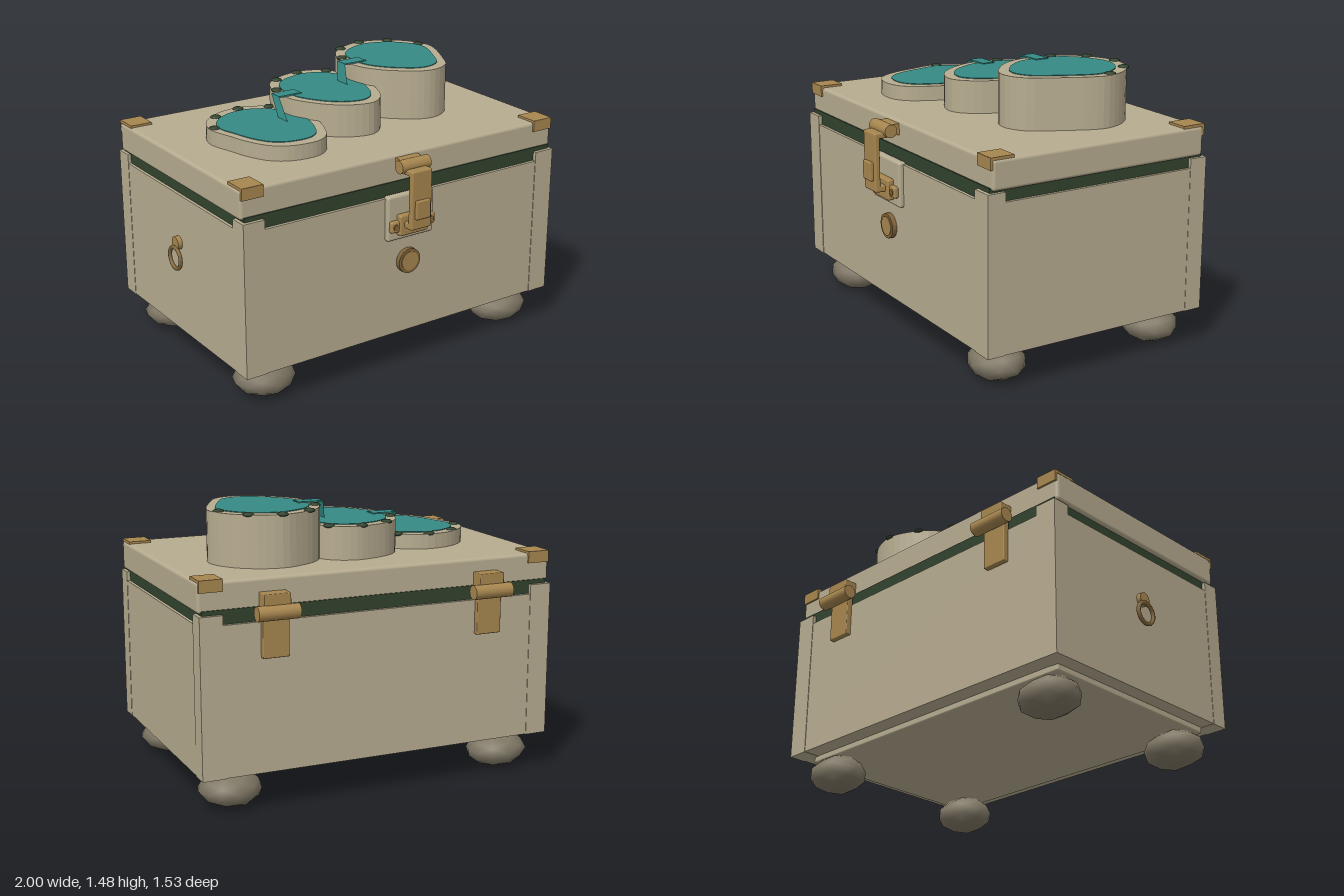
import * as THREE from 'three';
import { mergeVertices } from 'three/addons/utils/BufferGeometryUtils.js';
import { RoundedBoxGeometry } from 'three/addons/geometries/RoundedBoxGeometry.js';

const mat = (name, color) => Object.assign(new THREE.MeshStandardMaterial({ color }), { name });

export function createModel() {
  const tan = mat('tan', 0xb7ac90);
  const stone = mat('stone', 0x7f7765);
  const brass = mat('brass', 0xa7864f);
  const darkBrass = mat('darkBrass', 0x80643a);
  const green = mat('darkGreen', 0x32432e);
  const teal = mat('teal', 0x358a84);
  teal.side = THREE.DoubleSide;

  const root = new THREE.Group();
  root.name = 'chest';
  const add = (name, geo, material, x = 0, y = 0, z = 0, parent = root) => {
    const m = new THREE.Mesh(geo, material);
    m.name = name;
    m.position.set(x, y, z);
    parent.add(m);
    return m;
  };
  // Box given by its limits on each axis, with an optional rounding radius
  const box = (name, material, [x0, x1], [y0, y1], [z0, z1], r = 0, parent = root) => {
    const s = [x1 - x0, y1 - y0, z1 - z0];
    const geo = r ? new RoundedBoxGeometry(...s, 2, r) : new THREE.BoxGeometry(...s);
    return add(name, geo, material, (x0 + x1) / 2, (y0 + y1) / 2, (z0 + z1) / 2, parent);
  };
  // Cylinder lying along the x or z axis
  const rod = (name, material, r, len, axis, x, y, z, parent = root) => {
    const geo = new THREE.CylinderGeometry(r, r, len, 20);
    if (axis === 'x') geo.rotateZ(Math.PI / 2);
    else geo.rotateX(Math.PI / 2);
    return add(name, geo, material, x, y, z, parent);
  };

  // Chest body, liner, base and lid
  const CX = 0.018;
  box('body', tan, [-0.961, 0.998], [0.212, 0.987], [-0.677, 0.629]);
  box('liner', green, [-0.945, 0.982], [0.95, 1.06], [-0.66, 0.612]);
  box('basePlate', tan, [-0.882, 0.914], [0.18, 0.22], [-0.584, 0.535], 0.008);
  box('lid', tan, [-0.963, 1.0], [1.045, 1.2], [-0.655, 0.605], 0.018);

  // Corner posts, brass lid corners and stone feet
  for (const x of [[-0.963, -0.843], [0.88, 1.0]])
    for (const z of [[-0.68, -0.58], [0.533, 0.632]])
      box('cornerPost', tan, x, [0.21, 1.037], z);

  for (const x of [[-0.957, -0.835], [0.872, 0.994]]) {
    box('frontCornerTop', brass, x, [1.197, 1.212], [0.483, 0.613]);
    box('frontCornerFace', brass, x, [1.15, 1.21], [0.6, 0.614]);
    box('backCornerTop', brass, x, [1.197, 1.212], [-0.664, -0.532]);
    box('backCornerFace', brass, x, [1.15, 1.21], [-0.664, -0.65]);
  }

  let ico = new THREE.IcosahedronGeometry(1, 1);
  ico.deleteAttribute('normal');
  ico.deleteAttribute('uv');
  ico = mergeVertices(ico, 1e-3);
  const p = ico.attributes.position;
  for (let i = 0; i < p.count; i++) { // slightly uneven stone surface
    const k = 1 + 0.035 * Math.sin(i * 7.3);
    p.setXYZ(i, p.getX(i) * k, p.getY(i) * k, p.getZ(i) * k);
  }
  ico.computeVertexNormals();
  for (const x of [-0.757, 0.794])
    for (const z of [-0.506, 0.457]) {
      const foot = add('foot', ico, stone, x, 0.1, z);
      foot.scale.set(0.17, 0.096, 0.144);
      if (x > 0) foot.rotation.y = Math.PI;
    }

  // Front latch
  const latch = new THREE.Group();
  latch.name = 'latch';
  root.add(latch);
  box('latchPlate', tan, [-0.128, 0.166], [0.754, 1.0], [0.61, 0.655], 0.015, latch);
  box('latchWings', brass, [-0.122, 0.158], [0.807, 0.87], [0.65, 0.68], 0.012, latch);
  box('latchCatch', brass, [-0.075, 0.107], [0.785, 0.9], [0.65, 0.69], 0.012, latch);
  for (const s of [-1, 1])
    rod('latchScrew', darkBrass, 0.016, 0.01, 'z', CX + s * 0.112, 0.838, 0.68, latch);
  box('latchMount', brass, [-0.05, 0.085], [1.125, 1.185], [0.6, 0.65], 0, latch);
  rod('latchBarrel', brass, 0.035, 0.18, 'x', CX, 1.155, 0.665, latch);
  box('latchBridge', brass, [-0.048, 0.08], [1.115, 1.147], [0.665, 0.745], 0.01, latch);
  box('latchStrap', brass, [-0.048, 0.08], [0.83, 1.147], [0.715, 0.747], 0.01, latch);
  box('latchHook', brass, [-0.048, 0.08], [0.83, 0.865], [0.68, 0.735], 0.008, latch);
  box('latchTab', brass, [-0.027, 0.06], [0.89, 0.99], [0.74, 0.765], 0.006, latch);

  // Round front button with a darker rim
  rod('buttonRim', darkBrass, 0.068, 0.03, 'z', 0.016, 0.62, 0.64);
  rod('buttonFace', brass, 0.052, 0.036, 'z', 0.016, 0.62, 0.641);

  // Pull ring on the right side
  rod('ringBoss', brass, 0.036, 0.028, 'x', -0.972, 0.718, -0.03);
  const ring = new THREE.TorusGeometry(0.058, 0.011, 8, 28).rotateY(Math.PI / 2);
  add('pullRing', ring, darkBrass, -0.988, 0.637, -0.03);

  // Back hinges
  for (const x of [-0.578, 0.615]) {
    const hinge = new THREE.Group();
    hinge.name = 'hinge';
    root.add(hinge);
    rod('hingeBarrel', brass, 0.038, 0.22, 'x', x, 1.037, -0.727, hinge);
    box('upperLeaf', brass, [x - 0.07, x + 0.07], [1.04, 1.13], [-0.73, -0.645], 0.005, hinge);
    box('lowerLeaf', brass, [x - 0.07, x + 0.07], [0.805, 1.04], [-0.706, -0.67], 0.005, hinge);
  }

  // Stepped pads: outline and stud points as [x, z] in hundredths
  const pads = [
    { name: 'lowPad', top: 1.28,
      rim: [[-74, -5], [-71, -16], [-63, -25], [-53, -30], [-41, -31], [-30, -26], [-22, -16],
        [-18, 0], [-20, 14], [-24, 25], [-29, 34], [-36, 39], [-44, 40], [-54, 38], [-62, 32],
        [-68, 20], [-71, 8]],
      studs: [[-71, -7], [-61, -23], [-44, -29], [-28, -23]] },
    { name: 'middlePad', top: 1.375,
      rim: [[-28, -10], [-27, -20], [-22, -32], [-14, -39], [-3, -43], [6, -44], [16, -40],
        [22, -32], [25, -21], [25, -6], [21, 8], [15, 20], [6, 27], [-4, 26], [-15, 19],
        [-23, 8], [-27, -1]],
      studs: [[-25, -20], [-15, -36], [2, -42], [18, -36]] },
    { name: 'highPad', top: 1.47,
      rim: [[18, -16], [20, -29], [27, -39], [37, -45], [47, -48], [58, -46], [68, -40],
        [75, -31], [78, -21], [76, -12], [72, -3], [67, 7], [61, 17], [51, 22], [42, 21],
        [33, 15], [25, 7], [19, -4]],
      studs: [[21, -25], [31, -41], [48, -47], [64, -41], [74, -25]] },
  ];
  const studGeo = new THREE.SphereGeometry(0.03, 10, 8);
  for (const { name, top, rim, studs } of pads) {
    const pad = new THREE.Group();
    pad.name = name;
    root.add(pad);
    const curve = new THREE.CatmullRomCurve3(
      rim.map(([x, z]) => new THREE.Vector3(x / 100, -z / 100, 0)), true);
    const pts = curve.getPoints(48).slice(0, -1);
    const mid = new THREE.Box3().setFromPoints(pts).getCenter(new THREE.Vector3());
    const slab = (scale, depth) => new THREE.ExtrudeGeometry(
      new THREE.Shape(pts.map(v => new THREE.Vector2(
        mid.x + (v.x - mid.x) * scale, mid.y + (v.y - mid.y) * scale))),
      { depth, bevelEnabled: false }).rotateX(-Math.PI / 2);
    add('padWall', slab(1, top - 1.19), tan, 0, 1.19, 0, pad);
    add('padSurface', slab(0.83, 0.006), teal, 0, top - 0.002, 0, pad);
    for (const [x, z] of studs)
      add('stud', studGeo, green, x / 100, top, z / 100, pad).scale.y = 0.4;
  }

  // Spill tongues: flat plate on the higher pad and a ribbon dropping to the lower one
  const tongue = (x0, z0, z1, y, drop, dx, dz) => {
    box('tonguePlate', teal, [x0, x0 + 0.14], [y, y + 0.008], [z0, z1]);
    const geo = new THREE.BufferGeometry();
    geo.setAttribute('position', new THREE.Float32BufferAttribute([
      x0, y + 0.007, z0, x0, y + 0.007, z1,
      x0 - dx, y - drop, z0 + dz, x0 - dx, y - drop, z1 + dz + 0.02], 3));
    geo.setIndex([0, 2, 1, 1, 2, 3]);
    geo.computeVertexNormals();
    add('tongueRibbon', geo, teal);
  };
  tongue(-0.32, -0.137, -0.063, 1.376, 0.09, 0.03, 0.11);
  tongue(0.135, -0.187, -0.112, 1.471, 0.09, 0.025, 0.04);

  return root;
}
